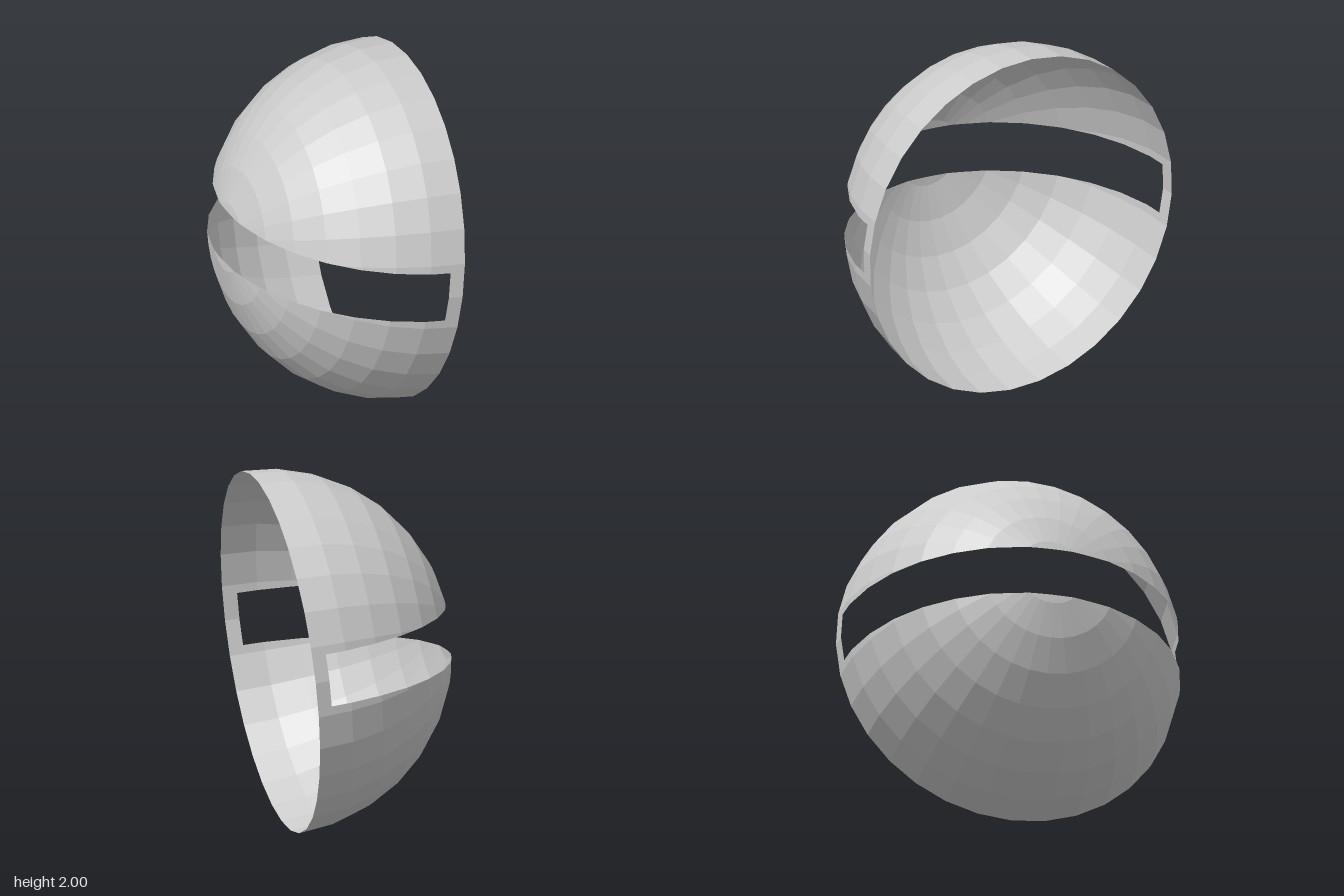
import * as THREE from 'three';

const SLOT = 0.146;   // half height of the slot
const BRIDGE = 0.08;  // depth of the strip that closes the slot at the rim

// Keep the part of a polygon where side(p) >= 0.
function clip(poly, side) {
  const out = [];
  poly.forEach((a, i) => {
    const b = poly[(i + 1) % poly.length];
    const da = side(a), db = side(b);
    if (da >= 0) out.push(a);
    if ((da > 0 && db < 0) || (da < 0 && db > 0)) out.push(a.clone().lerp(b, da / (da - db)));
  });
  return out;
}

// Cut a faceted surface by a list of half spaces.
function cutSurface(source, sides) {
  const pos = source.attributes.position;
  const points = [];
  for (let i = 0; i < pos.count; i += 3) {
    let poly = [0, 1, 2].map((k) => new THREE.Vector3().fromBufferAttribute(pos, i + k));
    for (const side of sides) poly = clip(poly, side);
    for (let k = 1; k + 1 < poly.length; k++) points.push(poly[0], poly[k], poly[k + 1]);
  }
  const geometry = new THREE.BufferGeometry().setFromPoints(points);
  geometry.computeVertexNormals();
  return geometry;
}

export function createModel() {
  const group = new THREE.Group();
  group.name = 'slottedDome';
  const material = new THREE.MeshStandardMaterial({
    color: 0xcccccc, flatShading: true, side: THREE.DoubleSide,
  });

  // Half sphere, open towards local +z, pole at -z
  const dome = new THREE.SphereGeometry(1, 32, 8, 0, Math.PI * 2, 0, Math.PI / 2)
    .rotateX(-Math.PI / 2)
    .scale(0.96, 1.003, 0.995)
    .toNonIndexed();

  // Two halves either side of the slot, joined by a strip at each end
  const parts = {
    upperShell: [(p) => p.y - SLOT],
    lowerShell: [(p) => -SLOT - p.y],
    rimBridges: [(p) => SLOT - p.y, (p) => p.y + SLOT, (p) => p.z + BRIDGE],
  };
  for (const [name, sides] of Object.entries(parts)) {
    const mesh = new THREE.Mesh(cutSurface(dome, sides), material);
    mesh.name = name;
    group.add(mesh);
  }

  // Tilt the opening to the left, a little forward and down
  const n = new THREE.Vector3(0.955, -0.115, 0.27).normalize();
  const v = new THREE.Vector3(0, 1, 0).addScaledVector(n, -n.y).normalize();
  const u = new THREE.Vector3().crossVectors(v, n);
  group.quaternion.setFromRotationMatrix(new THREE.Matrix4().makeBasis(u, v, n));
  group.position.set(0.357, 0.997, 0.018);

  const model = new THREE.Group();
  model.name = 'model';
  model.add(group);
  return model;
}
